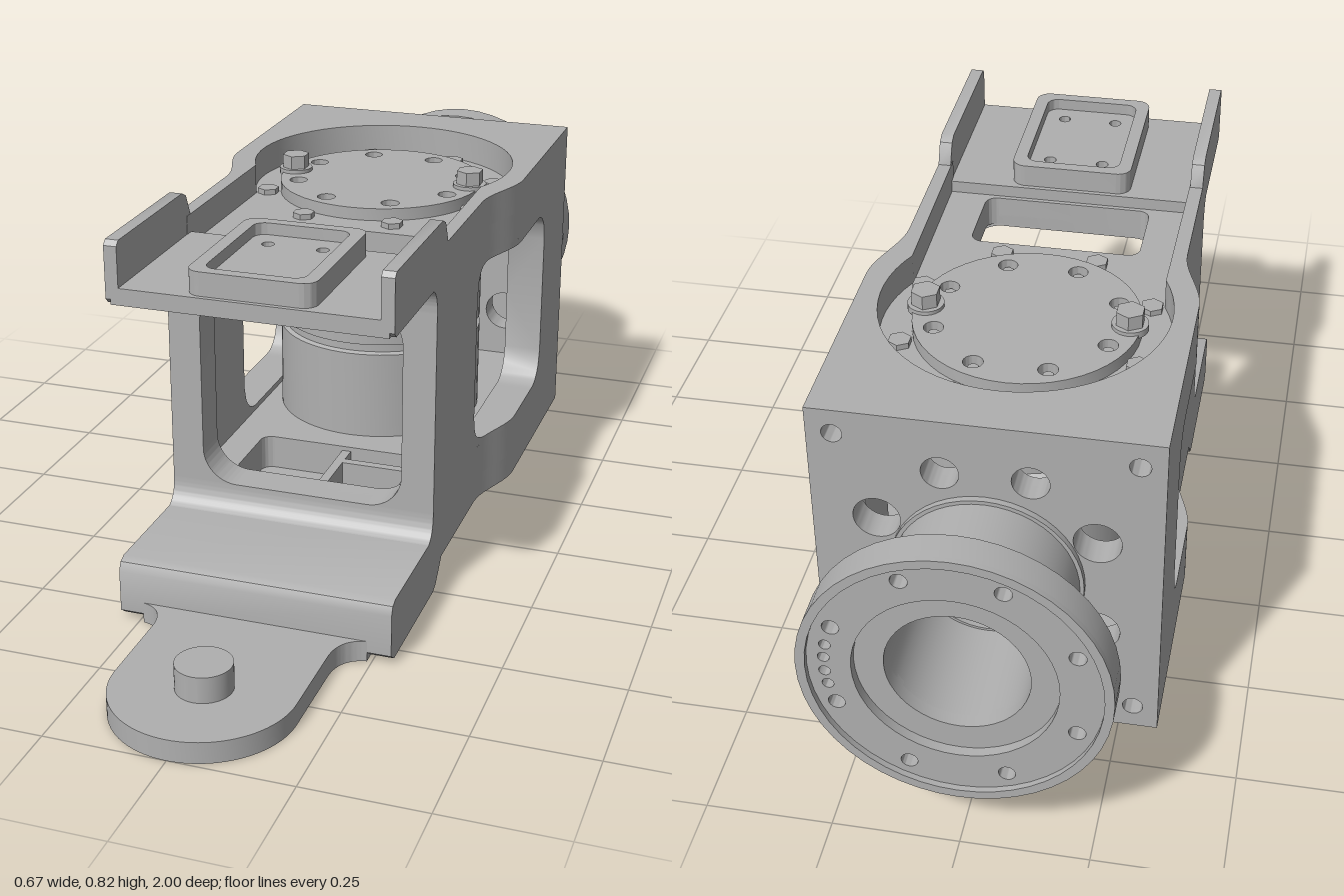
import * as THREE from 'three';
import { toCreasedNormals } from 'three/addons/utils/BufferGeometryUtils.js';

const MID = 0.4125; // mid height of the housing
const AXIS = -0.285; // z of the actuator axis

export function createModel() {
  const root = new THREE.Group();
  const metal = new THREE.MeshStandardMaterial({ color: 0xb0b0b0 });
  metal.name = 'machined grey';

  const add = (name, geo, x = 0, y = 0, z = 0) => {
    const m = new THREE.Mesh(toCreasedNormals(geo, 0.6), metal);
    m.name = name;
    m.position.set(x, y, z);
    root.add(m);
    return m;
  };
  const extrude = (shape, depth) =>
    new THREE.ExtrudeGeometry(shape, { depth, bevelEnabled: false, curveSegments: 24 });
  // plan shape drawn with (x, -z), raised from y0 to y1
  const plate = (name, shape, y0, y1) => add(name, extrude(shape, y1 - y0).rotateX(-Math.PI / 2), 0, y0);
  // side shape drawn with (z, y), running from x0 to x1
  const side = (name, shape, x0, x1) => add(name, extrude(shape, x1 - x0).rotateY(-Math.PI / 2), x1);
  const poly = (pts) => new THREE.Shape(pts.map((p) => new THREE.Vector2(...p)));
  const circle = (r, x = 0, y = 0) => new THREE.Shape().absarc(x, y, r, 0, Math.PI * 2);
  const roundRect = (x0, y0, x1, y1, r) => {
    const s = new THREE.Shape();
    s.absarc(x1 - r, y0 + r, r, -Math.PI / 2, 0);
    s.absarc(x1 - r, y1 - r, r, 0, Math.PI / 2);
    s.absarc(x0 + r, y1 - r, r, Math.PI / 2, Math.PI);
    s.absarc(x0 + r, y0 + r, r, Math.PI, Math.PI * 1.5);
    s.closePath();
    return s;
  };
  const cut = (shape, ...holes) => { shape.holes.push(...holes); return shape; };
  const cyl = (name, r, y0, y1, x, z, n = 48) =>
    add(name, new THREE.CylinderGeometry(r, r, y1 - y0, n), x, (y0 + y1) / 2, z);

  // Housing outline: wide at the back, eased to narrow at the front
  const halfWidth = (z) => 0.335 - 0.045 * THREE.MathUtils.smoothstep(z, -0.25, -0.07);
  const steps = [-0.64];
  for (let i = 0; i <= 10; i++) steps.push(-0.25 + 0.018 * i);
  const edge = (front) => [...steps, front].map((z) => [halfWidth(z), -z]);
  const outline = (front) => {
    const right = edge(front);
    return poly([...right, ...right.map(([x, y]) => [-x, y]).reverse()]);
  };

  // Side walls with a rounded window, as upper and lower halves
  const windowTop = (z) => {
    const d = Math.abs(z + 0.27);
    return 0.5525 + Math.sqrt(Math.max(0, 0.0049 - Math.max(0, d - 0.15) ** 2));
  };
  const stations = [[-0.64, MID], [-0.49, MID]];
  for (let i = 0; i <= 44; i++) stations.push([-0.49 + i * 0.01, windowTop(-0.49 + i * 0.01)]);
  stations.push([-0.05, MID], [0.27, MID]);
  const wallGeo = () => {
    const pos = [];
    const ring = ([z, y]) => [[0.25, y, z], [halfWidth(z), y, z], [halfWidth(z), 0.636, z], [0.25, 0.636, z]];
    const quad = (a, b, c, d) => pos.push(...a, ...b, ...c, ...a, ...c, ...d);
    for (let i = 0; i < stations.length - 1; i++) {
      const a = ring(stations[i]), b = ring(stations[i + 1]);
      for (let k = 0; k < 4; k++) quad(a[k], a[(k + 1) % 4], b[(k + 1) % 4], b[k]);
    }
    quad(...ring(stations[0]).reverse());
    quad(...ring(stations[stations.length - 1]));
    const g = new THREE.BufferGeometry();
    g.setAttribute('position', new THREE.Float32BufferAttribute(pos, 3));
    return g;
  };
  for (const sx of [1, -1]) for (const sy of [1, -1]) {
    const m = add('sideWall', wallGeo(), 0, sy > 0 ? 0 : 2 * MID, 0);
    m.scale.set(sx, sy, 1);
  }

  // Top and bottom decks, each with a slot and a raised rim around the recess
  const slot = () => roundRect(-0.18, -0.19, 0.18, -0.01, 0.025);
  const rim = () => {
    const right = edge(0.22), inner = [[-0.262, -0.22]];
    const a = Math.asin(0.13 / 0.29);
    for (let i = 0; i <= 40; i++) {
      const t = Math.PI + a - (i / 40) * (Math.PI + 2 * a);
      inner.push([0.29 * Math.cos(t), 0.3 + 0.29 * Math.sin(t)]);
    }
    inner.push([0.262, -0.22]);
    return poly([...right.reverse(), ...right.map(([x, y]) => [-x, y]).reverse(), ...inner]);
  };
  plate('upperDeck', cut(outline(0.26), circle(0.17, 0, -AXIS), slot()), 0.635, 0.7);
  plate('upperRim', rim(), 0.7, 0.765);
  plate('lowerDeck', cut(outline(0.26), slot()), 0.115, 0.19);
  plate('lowerRim', rim(), 0.06, 0.115);
  add('slotRib', new THREE.BoxGeometry(0.02, 0.06, 0.18), 0.015, 0.15, 0.1);
  add('slotRib', new THREE.BoxGeometry(0.16, 0.06, 0.02), 0.1, 0.15, 0.06);

  // Bottom cover with screws
  plate('bottomCover', roundRect(-0.25, -0.19, 0.25, 0.55, 0.2), 0.075, 0.115);
  for (const [x, z] of [[-0.16, -0.42], [0.16, -0.42], [-0.17, 0.06], [0.17, 0.06]])
    cyl('coverScrew', 0.024, 0.06, 0.08, x, z, 6);

  // Front wall with a rounded opening
  add('frontWall', extrude(cut(poly([[-0.25, 0.12], [0.25, 0.12], [0.25, 0.7], [-0.25, 0.7]]),
    roundRect(-0.22, 0.192, 0.22, 0.63, 0.075)), 0.08), 0, 0, 0.19);

  // Fork arms: fillets, upper tray with lips, solid lower arm
  const fillet = (yWall, yArm) => {
    const s = new THREE.Shape();
    s.moveTo(0.2, yWall);
    s.lineTo(0.27, yWall);
    s.quadraticCurveTo(0.27, yArm, 0.33, yArm);
    s.lineTo(0.2, yArm);
    return s;
  };
  side('upperFillet', fillet(0.635, 0.698), -0.29, 0.29);
  side('lowerFillet', fillet(0.192, 0.13), -0.29, 0.29);
  add('upperArm', new THREE.BoxGeometry(0.56, 0.035, 0.36), 0, 0.7085, 0.38);
  const lip = () => poly([[0.2, 0.692], [0.55, 0.692], [0.56, 0.702], [0.56, 0.81], [0.55, 0.82], [0.24, 0.82],
    [0.22, 0.81], [0.2, 0.765]]);
  side('armLip', lip(), 0.263, 0.29);
  side('armLip', lip(), -0.29, -0.263);
  side('lowerArm', poly([[0.2, 0.06], [0.24, 0.015], [0.26, 0.005], [0.54, 0.005], [0.56, 0.02], [0.56, 0.11],
    [0.552, 0.128], [0.535, 0.135], [0.2, 0.135]]), -0.29, 0.29);

  // Raised tray on the upper arm
  plate('padRim', cut(roundRect(-0.13, -0.55, 0.13, -0.21, 0.03), roundRect(-0.102, -0.525, 0.102, -0.235, 0.025)), 0.72, 0.775);
  const padFloor = roundRect(-0.11, -0.535, 0.11, -0.225, 0.02);
  for (const x of [-0.058, 0.058]) for (const z of [0.29, 0.48]) padFloor.holes.push(circle(0.013, x, -z));
  plate('padFloor', padFloor, 0.725, 0.75);

  // Tongue with peg
  const tongue = new THREE.Shape();
  tongue.moveTo(0.24, -0.3);
  tongue.lineTo(0.24, -0.56);
  tongue.quadraticCurveTo(0.185, -0.57, 0.185, -0.64);
  tongue.lineTo(0.185, -0.815);
  tongue.absarc(0, -0.815, 0.185, 0, -Math.PI, true);
  tongue.lineTo(-0.185, -0.64);
  tongue.quadraticCurveTo(-0.185, -0.57, -0.24, -0.56);
  tongue.lineTo(-0.24, -0.3);
  plate('tongue', tongue, 0, 0.045);
  cyl('peg', 0.057, 0.04, 0.1, 0, 0.815);

  // Actuator on its vertical axis
  const profile = [[0, 0.15], [0.23, 0.15], [0.23, 0.388], [0.22, 0.392], [0.22, 0.408], [0.23, 0.412], [0.23, 0.5],
    [0.222, 0.505], [0.222, 0.525], [0.145, 0.525], [0.145, 0.608], [0.168, 0.618], [0.168, 0.7], [0, 0.7]];
  add('actuator', new THREE.LatheGeometry(profile.map((p) => new THREE.Vector2(...p)), 64), 0, 0, AXIS);

  // Output disc with bolt circle, locating bolts and deck screws
  const disc = circle(0.228, 0, -AXIS);
  for (const [x, z] of [[0.073, 0.172], [0.173, 0.073]]) for (const sx of [1, -1]) for (const sz of [1, -1]) {
    disc.holes.push(circle(0.02, sx * x, -AXIS + sz * z));
    cyl('discScrew', 0.012, 0.7, 0.715, sx * x, AXIS + sz * z, 6);
  }
  plate('outputDisc', disc, 0.7, 0.727);
  for (const sx of [1, -1]) {
    cyl('boltWasher', 0.037, 0.72, 0.735, sx * 0.205, AXIS, 24);
    cyl('locatingBolt', 0.03, 0.73, 0.765, sx * 0.205, AXIS, 6);
    for (const [x, z] of [[0.1, 0.245], [0.235, 0.102]]) for (const sz of [1, -1])
      cyl('deckScrew', 0.024, 0.69, 0.712, sx * x, AXIS + sz * z, 6);
  }

  // Back plate with corner and relief holes
  const back = poly([[-0.335, 0.06], [0.335, 0.06], [0.335, 0.765], [-0.335, 0.765]]);
  for (const sx of [1, -1]) for (const sy of [1, -1])
    back.holes.push(circle(0.02, sx * 0.285, MID + sy * 0.3), circle(0.036, sx * 0.085, MID + sy * 0.235),
      circle(0.046, sx * 0.21, MID + sy * 0.11));
  add('backPlate', extrude(back, 0.062), 0, 0, -0.702);

  // Rear tube and flange
  const ring = (name, inner, outer, z0, z1) =>
    add(name, extrude(cut(circle(outer), circle(inner)), z1 - z0), 0, 0.415, z0);
  ring('tubeBase', 0.13, 0.188, -0.715, -0.7);
  ring('rearTube', 0.135, 0.18, -0.94, -0.7);
  const flange = cut(circle(0.29), circle(0.19));
  for (let i = 0; i < 8; i++) {
    const a = (i + 0.5) * Math.PI / 4;
    flange.holes.push(circle(0.016, 0.24 * Math.cos(a), 0.24 * Math.sin(a)));
  }
  for (const a of [-0.2, -0.07, 0.07, 0.2]) flange.holes.push(circle(0.011, 0.24 * Math.cos(a), 0.24 * Math.sin(a)));
  add('flange', extrude(flange, 0.058), 0, 0.415, -0.988);
  ring('flangeRim', 0.272, 0.29, -1, -0.988);
  ring('flangeStep', 0.135, 0.19, -0.968, -0.93);

  return root;
}
